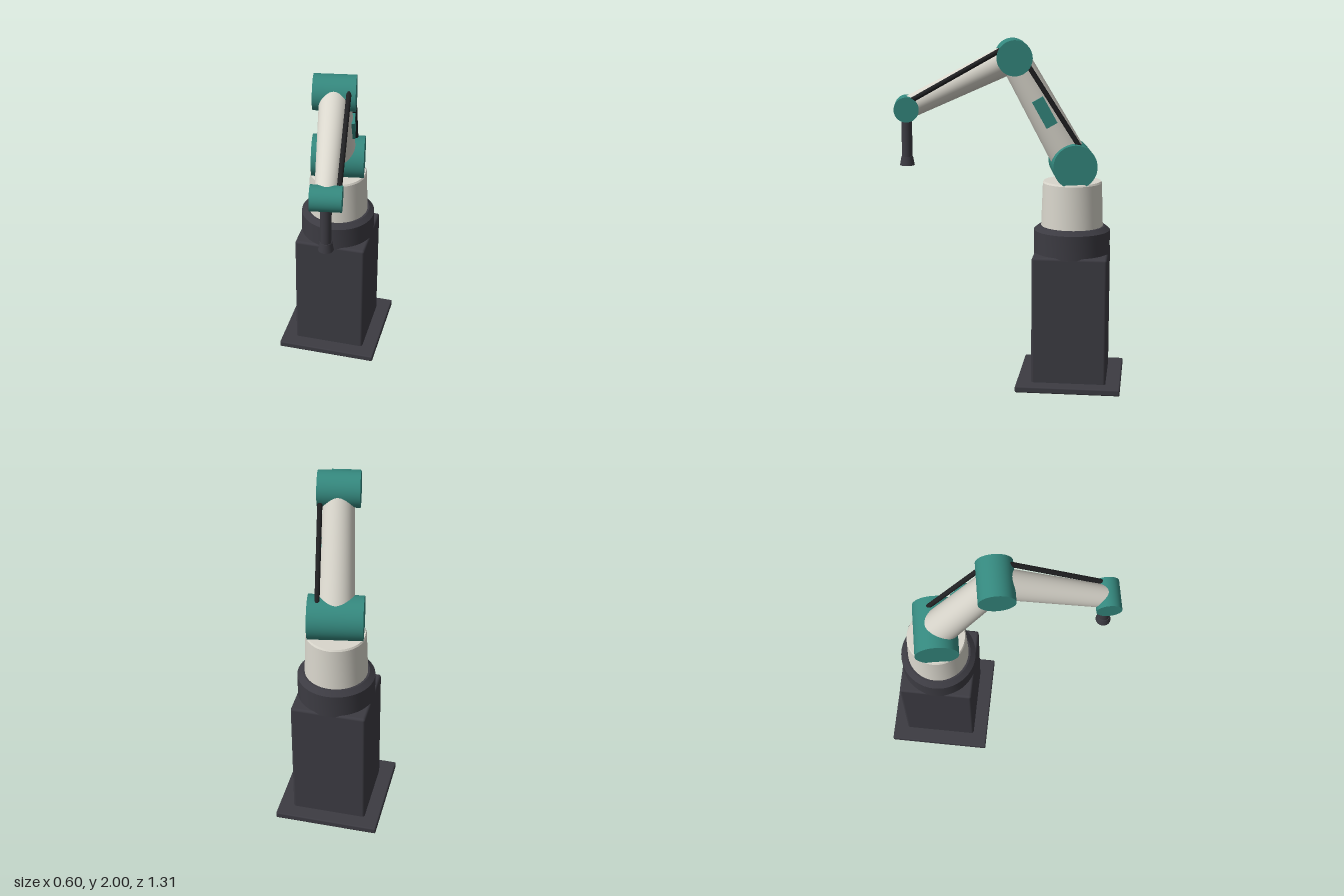
import * as THREE from 'three';
import { toCreasedNormals } from 'three/addons/utils/BufferGeometryUtils.js';
import { RoundedBoxGeometry } from 'three/addons/geometries/RoundedBoxGeometry.js';

const SIDES = 48;

function material(name, color) {
  const m = new THREE.MeshStandardMaterial({ color });
  m.name = name;
  return m;
}

export function createModel() {
  const charcoal = material('charcoal', 0x3c3b42);
  const ivory = material('ivory', 0xd9d6cc);
  const teal = material('teal', 0x35897f);
  const black = material('black', 0x202022);

  const model = new THREE.Group();
  model.name = 'robotArm';

  const add = (parent, name, geometry, mat, x = 0, y = 0, z = 0) => {
    const mesh = new THREE.Mesh(geometry, mat);
    mesh.name = name;
    mesh.position.set(x, y, z);
    parent.add(mesh);
    return mesh;
  };

  // Turned part from [radius, height] pairs, with crisp edges
  const turned = (points) => toCreasedNormals(
    new THREE.LatheGeometry(points.map(([r, y]) => new THREE.Vector2(r, y)), SIDES), 0.35);

  // Tapered rod running from point a to point b
  const rod = (parent, name, a, b, ra, rb, mat) => {
    const dir = b.clone().sub(a);
    const mesh = add(parent, name, new THREE.CylinderGeometry(rb, ra, dir.length(), SIDES), mat);
    mesh.position.copy(a).add(b).multiplyScalar(0.5);
    mesh.quaternion.setFromUnitVectors(new THREE.Vector3(0, 1, 0), dir.normalize());
    return mesh;
  };

  // Fixed base
  const base = new THREE.Group();
  base.name = 'base';
  base.position.z = -0.355;
  model.add(base);
  add(base, 'floorPlate', new RoundedBoxGeometry(0.6, 0.037, 0.6, 2, 0.008), charcoal, 0, 0.0185, 0);
  add(base, 'pedestal', new RoundedBoxGeometry(0.43, 0.755, 0.43, 3, 0.015), charcoal, 0, 0.3985, 0);
  add(base, 'collar', turned([[0, 0.765], [0.22, 0.765], [0.22, 0.906], [0.19, 0.93], [0, 0.93]]), charcoal);
  add(base, 'turret', turned([[0, 0.92], [0.179, 0.92], [0.17, 1.18], [0.164, 1.19], [0, 1.19]]), ivory);

  // Swivelling arm, bending in its own yz plane
  const arm = new THREE.Group();
  arm.name = 'arm';
  arm.position.z = -0.355;
  arm.rotation.y = THREE.MathUtils.degToRad(10);
  model.add(arm);

  const shoulder = new THREE.Vector3(0, 1.29, 0);
  const elbow = new THREE.Vector3(0, 1.9, 0.34);
  const wrist = new THREE.Vector3(0, 1.613, 0.945);

  // Sideways drums at the joints
  for (const [name, p, r, width] of [
    ['shoulderJoint', shoulder, 0.125, 0.31],
    ['elbowJoint', elbow, 0.1, 0.235],
    ['wristJoint', wrist, 0.07, 0.17],
  ]) {
    const drum = add(arm, name, new THREE.CylinderGeometry(r, r, width, SIDES), teal, p.x, p.y, p.z);
    drum.rotation.z = Math.PI / 2;
  }

  // Arm tubes
  const upperArm = rod(arm, 'upperArm', shoulder, elbow, 0.105, 0.085, ivory);
  rod(arm, 'forearm', elbow, wrist, 0.085, 0.062, ivory);

  // Side panel set into the upper arm
  add(upperArm, 'sidePanel', new THREE.BoxGeometry(0.03, 0.17, 0.07), teal, 0.09, 0, 0);

  // Cables
  rod(arm, 'upperCable', new THREE.Vector3(0.1, 1.39, -0.035),
    new THREE.Vector3(0.1, 1.9, 0.29), 0.014, 0.014, black);
  rod(arm, 'forearmCable', new THREE.Vector3(0.081, 1.95, 0.405),
    new THREE.Vector3(0.067, 1.66, 0.925), 0.014, 0.014, black);

  // Tool hanging from the wrist
  add(arm, 'toolShaft', new THREE.CylinderGeometry(0.03, 0.03, 0.28, SIDES), charcoal, 0, 1.475, wrist.z);
  add(arm, 'toolNozzle', new THREE.CylinderGeometry(0.033, 0.042, 0.05, SIDES), charcoal, 0, 1.315, wrist.z);

  return model;
}
